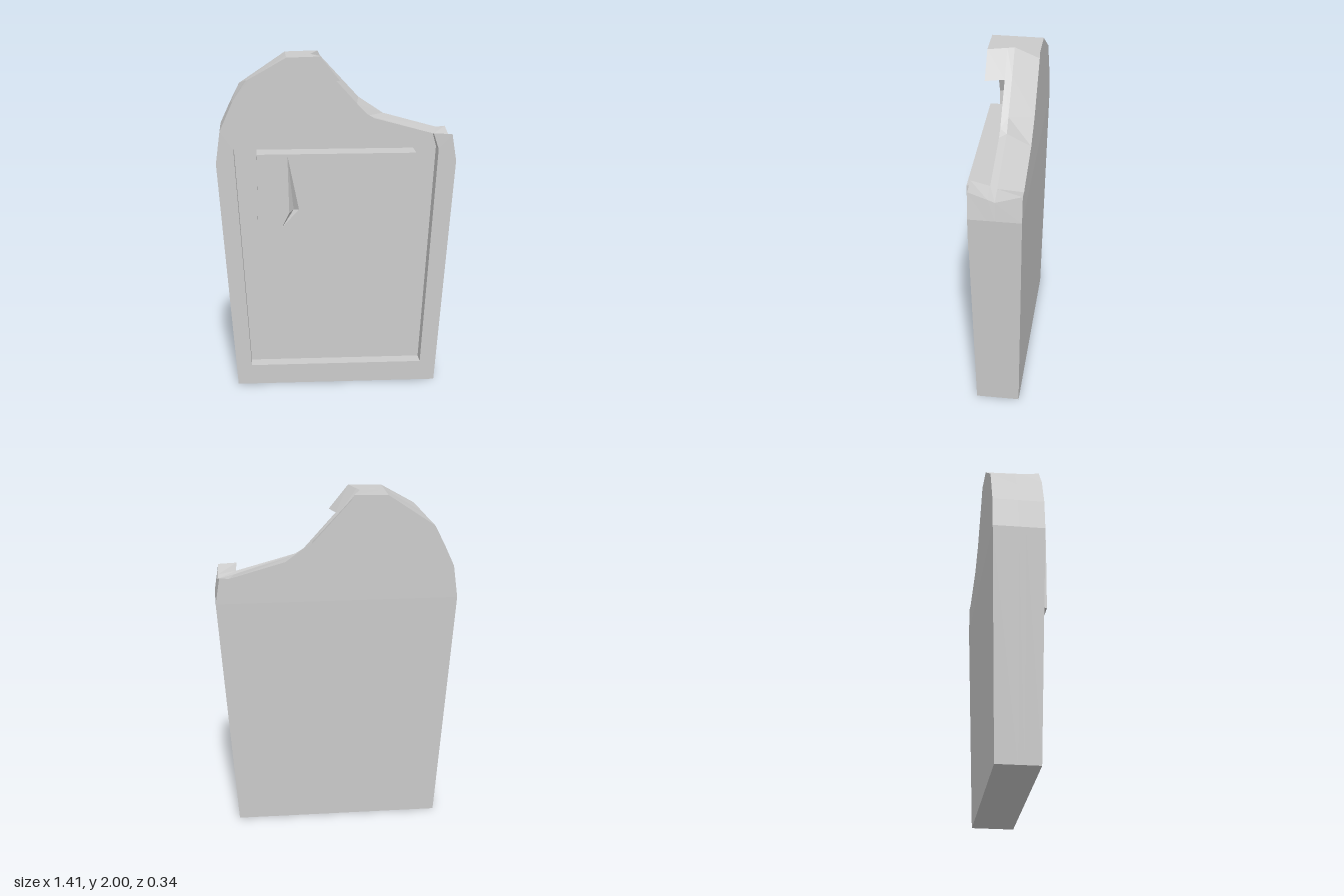
import * as THREE from 'three';

const material = () => new THREE.MeshStandardMaterial({ color: 0xcccccc, flatShading: true });

// The slab gets thinner towards its foot
const taper = (y, z) => z * (1 - 0.15 * Math.max(0, 1 - y / 1.38));

// Skin between matching outlines (counter-clockwise from the front), ordered back to front
function loft(layers, capBack, splitCaps) {
  const pos = [];
  const put = (layer, i) => {
    const [x, y] = layer.pts[i];
    pos.push(x, y, taper(y, layer.z));
  };
  const n = layers[0].pts.length;
  for (let l = 0; l < layers.length - 1; l++) {
    const A = layers[l], B = layers[l + 1];
    for (let i = 0; i < n; i++) {
      const j = (i + 1) % n;
      put(A, i); put(A, j); put(B, j);
      put(A, i); put(B, j); put(B, i);
    }
  }
  const cap = (layer, flip) => {
    const all = layer.pts.map((p, i) => i);
    // the tapering lower part is capped apart from the upright upper part
    const groups = splitCaps ? [[0, 1, 2, n - 1], all.slice(2)] : [all];
    for (const ids of groups) {
      const contour = ids.map(i => new THREE.Vector2(...layer.pts[i]));
      for (const [a, b, c] of THREE.ShapeUtils.triangulateShape(contour, [])) {
        for (const k of flip ? [a, c, b] : [a, b, c]) put(layer, ids[k]);
      }
    }
  };
  if (capBack) cap(layers[0], true);
  cap(layers[layers.length - 1], false);
  const geo = new THREE.BufferGeometry();
  geo.setAttribute('position', new THREE.Float32BufferAttribute(pos, 3));
  geo.computeVertexNormals();
  return geo;
}

function addMesh(group, name, geo, mat = material()) {
  const mesh = new THREE.Mesh(geo, mat);
  mesh.name = name;
  group.add(mesh);
  return mesh;
}

export function createModel() {
  const group = new THREE.Group();
  group.name = 'brokenGravestone';

  const base = [[-0.6, 0], [0.6, 0], [0.705, 1.38]];
  const roundFront = [[-0.29, 1.995], [-0.485, 1.885], [-0.6, 1.75], [-0.68, 1.57], [-0.705, 1.38]];
  const roundBack = [[-0.29, 1.995], [-0.565, 1.81], [-0.625, 1.69], [-0.68, 1.57], [-0.705, 1.38]];
  const roundMid = roundFront.map(([x, y], i) => [(x + roundBack[i][0]) / 2, (y + roundBack[i][1]) / 2]);

  // Broken edge, from the right tip up to the top
  const breakBack = [[0.68, 1.535], [0.625, 1.53], [0.3, 1.62], [0.15, 1.72], [-0.08, 1.97], [-0.095, 2]];
  const breakMid = [[0.688, 1.49], [0.59, 1.515], [0.2, 1.63], [0.13, 1.7], [-0.03, 1.87], [-0.145, 1.997]];
  const breakPanel = [[0.687, 1.505], [0.58, 1.525], [0.23, 1.62], [0.18, 1.65], [-0.01, 1.86], [-0.13, 1.998]];

  // Main slab, up to the sunken panel
  addMesh(group, 'slab', loft([
    { z: -0.17, pts: [...base, ...breakBack, ...roundBack] },
    { z: -0.02, pts: [...base, ...breakMid, ...roundMid] },
    { z: 0.02, pts: [...base, ...breakPanel, ...roundMid] },
  ], true, true));

  // Raised rim around the panel, open along the break
  const inner = [[0.6, 1.45], [0.513, 0.12], [-0.517, 0.12], [-0.602, 1.46], [-0.485, 1.72], [-0.26, 1.858]];
  addMesh(group, 'rim', loft([
    { z: 0.02, pts: [...base, [0.687, 1.505], [0.58, 1.525], ...inner, [-0.01, 1.858], [-0.13, 1.998], ...roundMid] },
    { z: 0.13, pts: [...base, [0.68, 1.54], [0.57, 1.545], ...inner, [0.02, 1.858], [-0.095, 2], ...roundFront] },
  ], false, false));

  // Plaque with a crack cut into its face
  const plaque = new THREE.Shape([[-0.467, 0.997], [0.463, 0.997], [0.463, 1.44], [-0.467, 1.44]]
    .map(p => new THREE.Vector2(...p)));
  const crack = [[-0.29, 1.432], [-0.282, 1.09], [-0.325, 1.002], [-0.225, 1.11]];
  plaque.holes.push(new THREE.Path(crack.map(p => new THREE.Vector2(...p))));
  const plaqueGeo = new THREE.ExtrudeGeometry(plaque, { depth: 0.16, bevelEnabled: false });
  plaqueGeo.translate(0, 0, 0.01);
  addMesh(group, 'plaque', plaqueGeo);

  // Sloping walls of the crack
  const walls = [];
  crack.forEach((p, i) => {
    walls.push(...p, 0.17, ...crack[(i + 1) % crack.length], 0.17, -0.255, 1.1, 0.13);
  });
  const crackGeo = new THREE.BufferGeometry();
  crackGeo.setAttribute('position', new THREE.Float32BufferAttribute(walls, 3));
  crackGeo.computeVertexNormals();
  addMesh(group, 'plaqueCrack', crackGeo).material.side = THREE.DoubleSide;

  return group;
}
